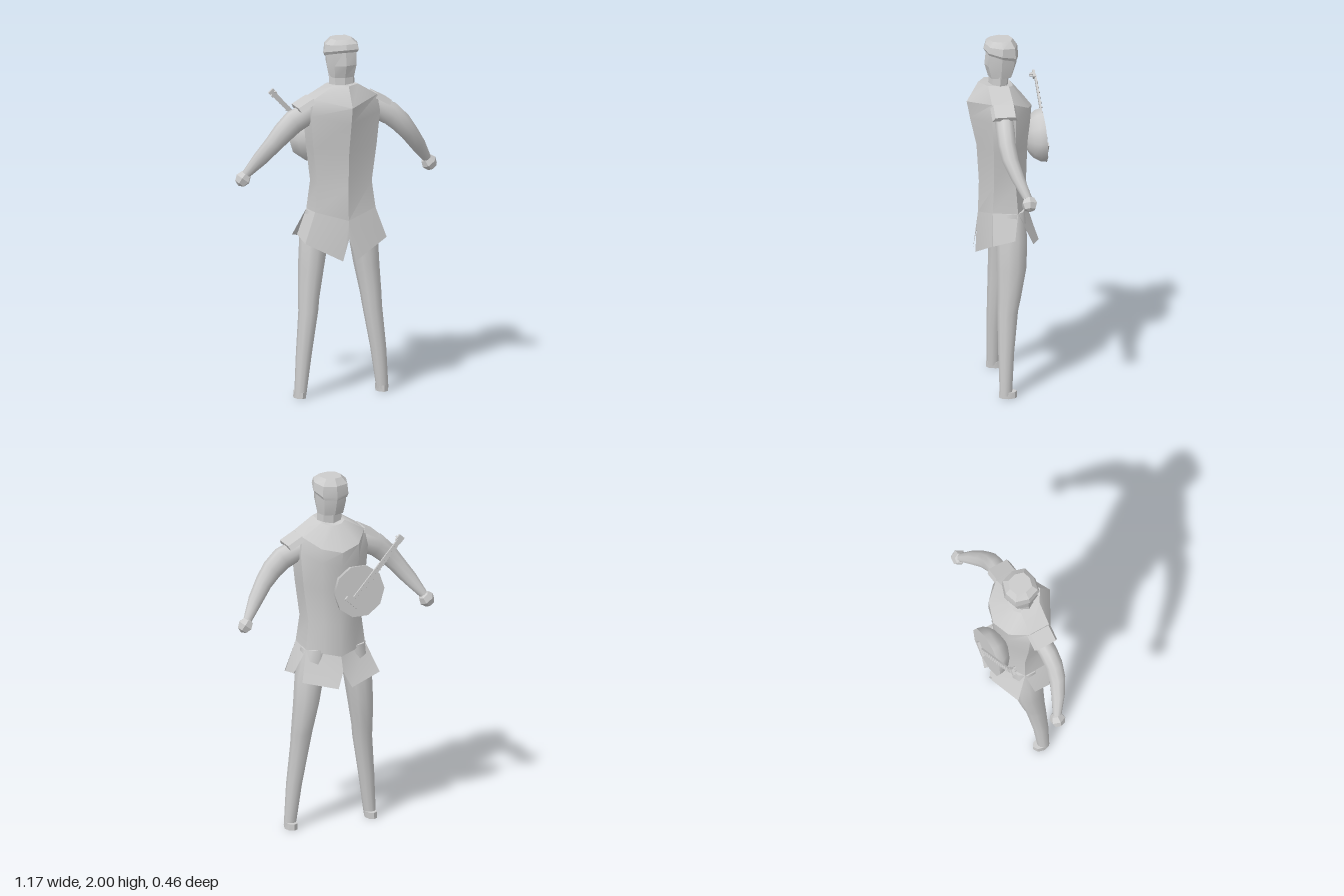
import * as THREE from 'three';
import { toCreasedNormals } from 'three/addons/utils/BufferGeometryUtils.js';

const grey = new THREE.MeshStandardMaterial({ color: 0xcccccc, side: THREE.DoubleSide });

function addMesh(parent, name, geometry, crease = 0.6) {
  const mesh = new THREE.Mesh(toCreasedNormals(geometry, crease), grey);
  mesh.name = name;
  parent.add(mesh);
  return mesh;
}

// Skin through closed rings of [x, y, z]; side = -1 mirrors the part in x
function loft(rings, side = 1) {
  const n = rings[0].length;
  const pos = [], idx = [];
  const put = ([x, y, z]) => pos.push(side * x, y, z);
  rings.forEach(r => r.forEach(put));
  const tri = (a, b, c) => (side > 0 ? idx.push(a, b, c) : idx.push(a, c, b));
  for (let i = 0; i < rings.length - 1; i++) {
    for (let j = 0; j < n; j++) {
      const k = (j + 1) % n, a = i * n, b = a + n;
      tri(a + j, a + k, b + k);
      tri(a + j, b + k, b + j);
    }
  }
  // End caps
  [0, rings.length - 1].forEach(e => {
    const c = pos.length / 3;
    put([0, 1, 2].map(q => rings[e].reduce((s, p) => s + p[q], 0) / n));
    for (let j = 0; j < n; j++) {
      const k = (j + 1) % n;
      if (e === 0) tri(c, k, j);
      else tri(c, e * n + j, e * n + k);
    }
  });
  const g = new THREE.BufferGeometry();
  g.setAttribute('position', new THREE.Float32BufferAttribute(pos, 3));
  g.setIndex(idx);
  return g;
}

// Full ring from its +x half, listed front centre to back centre
const mirrorRing = half =>
  [...half, ...half.slice(1, -1).reverse().map(([x, y, z]) => [-x, y, z])];

// Horizontal ellipse
const ellipse = (x, y, z, rx, rz, n = 10) => Array.from({ length: n }, (_, i) => {
  const a = (i / n) * Math.PI * 2;
  return [x + Math.sin(a) * rx, y, z + Math.cos(a) * rz];
});

// Flat many-cornered panel
function panel(points, side) {
  const idx = [];
  for (let i = 1; i < points.length - 1; i++) idx.push(...(side > 0 ? [0, i, i + 1] : [0, i + 1, i]));
  const g = new THREE.BufferGeometry();
  g.setAttribute('position',
    new THREE.Float32BufferAttribute(points.flatMap(([x, y, z]) => [side * x, y, z]), 3));
  g.setIndex(idx);
  return g;
}

// Boxy octagonal ring for the head; slope lowers the back edge
const headRing = (y, hx, front, back, slope = 0) => {
  const c = (front + back) / 2, h = (front - back) / 2;
  return mirrorRing([[0, 1], [0.76, 0.82], [1, 0.05], [0.76, -0.75], [0, -1]]
    .map(([u, v]) => [u * hx, y + slope * (v - 1), c + v * h]));
};

export function createModel() {
  const model = new THREE.Group();
  model.name = 'figure';

  // Tunic body, hem to neckline
  const tunicRows = [
    [[0, 1.0, 0.16], [0.175, 1.05, 0.105], [0.175, 1.04, -0.035], [0.09, 1.02, -0.088], [0, 1.0, -0.115]],
    [[0, 1.18, 0.155], [0.157, 1.2, 0.095], [0.157, 1.2, -0.025], [0.09, 1.19, -0.082], [0, 1.18, -0.105]],
    [[0, 1.39, 0.168], [0.183, 1.4, 0.1], [0.183, 1.4, -0.02], [0.1, 1.39, -0.088], [0, 1.38, -0.112]],
    [[0, 1.55, 0.204], [0.2, 1.59, 0.11], [0.2, 1.59, -0.02], [0.11, 1.55, -0.103], [0, 1.52, -0.128]],
    [[0, 1.645, 0.222], [0.183, 1.685, 0.11], [0.183, 1.68, -0.01], [0.11, 1.63, -0.1], [0, 1.605, -0.135]],
    [[0, 1.755, 0.16], [0.07, 1.755, 0.115], [0.07, 1.745, 0], [0.04, 1.735, -0.025], [0, 1.73, -0.03]],
  ];
  addMesh(model, 'tunic', loft(tunicRows.map(mirrorRing)));

  // Neck and head
  addMesh(model, 'neck', loft([ellipse(0, 1.72, 0.05, 0.073, 0.055, 8), ellipse(0, 1.82, 0.045, 0.073, 0.055, 8)]));
  addMesh(model, 'head', loft([
    headRing(1.79, 0.072, 0.105, -0.03),
    headRing(1.86, 0.084, 0.125, -0.052),
    headRing(1.95, 0.088, 0.115, -0.055),
  ]), 0.35);
  addMesh(model, 'cap', loft([
    headRing(1.935, 0.09, 0.122, -0.058, 0.027),
    headRing(1.95, 0.1, 0.13, -0.062, 0.025),
    headRing(1.978, 0.094, 0.12, -0.056, 0.008),
    headRing(2.0, 0.06, 0.095, -0.03),
  ]), 0.35);

  for (const s of [1, -1]) {
    const label = s > 0 ? 'left' : 'right';

    // Skirt panels split at the front, sides and back
    addMesh(model, label + 'FrontFlap', panel(
      [[0, 1.0, 0.16], [0, 0.9, 0.168], [0.04, 0.78, 0.18], [0.235, 0.88, 0.118], [0.175, 1.05, 0.105]], s));
    addMesh(model, label + 'SideFlap', panel(
      [[0.175, 1.05, 0.105], [0.235, 0.88, 0.112], [0.238, 0.905, -0.01], [0.175, 1.04, -0.035]], s));
    addMesh(model, label + 'BackFlap', panel(
      [[0.175, 1.04, -0.035], [0.23, 0.88, -0.11], [0.04, 0.835, -0.168], [0, 0.92, -0.14],
        [0, 1.0, -0.115], [0.09, 1.02, -0.088]], s));

    // Leg, ankle to hip
    addMesh(model, label + 'Leg', loft([
      [0.238, 0.015, 0.042, 0.033, 0.034],
      [0.215, 0.25, 0.037, 0.044, 0.044],
      [0.185, 0.48, 0.024, 0.054, 0.057],
      [0.18, 0.55, 0.015, 0.058, 0.064],
      [0.16, 0.72, -0.001, 0.07, 0.082],
      [0.142, 0.88, -0.004, 0.08, 0.086],
      [0.11, 1.04, 0, 0.075, 0.08],
    ].map(p => ellipse(...p)), s), 0.9);
    addMesh(model, label + 'Foot', loft([
      ellipse(0.238, 0, 0.03, 0.034, 0.05, 8), ellipse(0.236, 0.035, 0.03, 0.033, 0.05, 8),
    ], s));

    // Arm: rings square to the path, [x, y, z, radius up, radius deep]
    const arm = [
      [0.18, 1.6, 0.045, 0.06, 0.05], [0.28, 1.555, 0.05, 0.066, 0.051],
      [0.34, 1.5, 0.051, 0.06, 0.049], [0.395, 1.435, 0.04, 0.05, 0.046],
      [0.46, 1.35, 0.008, 0.042, 0.038], [0.525, 1.26, -0.035, 0.024, 0.026],
    ];
    addMesh(model, label + 'Arm', loft(arm.map(([x, y, z, rv, rz], i) => {
      const a = arm[Math.max(i - 1, 0)], b = arm[Math.min(i + 1, arm.length - 1)];
      const d = new THREE.Vector2(b[0] - a[0], b[1] - a[1]).normalize();
      return Array.from({ length: 10 }, (_, k) => {
        const t = (k / 10) * Math.PI * 2, v = Math.sin(t) * rv;
        return [x + d.y * v, y - d.x * v, z + Math.cos(t) * rz];
      });
    }), s), 0.9);

    // Fist
    const hand = addMesh(model, label + 'Hand', new THREE.SphereGeometry(0.045, 6, 4), 0.2);
    hand.position.set(s * 0.54, 1.235, -0.042);
    hand.rotation.z = s * 0.65;

    // Cap sleeve, narrower along its upper face
    const cap = new THREE.BoxGeometry(0.095, 0.028, 0.14);
    const p = cap.attributes.position;
    for (let i = 0; i < p.count; i++) if (p.getY(i) > 0) p.setZ(i, p.getZ(i) * 0.8);
    const sleeve = addMesh(model, label + 'Sleeve', cap, 0.2);
    sleeve.position.set(s * 0.222, 1.652, 0.048);
    sleeve.rotation.z = -s * 0.5;
  }

  // Stringed instrument slung on the back
  const lute = new THREE.Group();
  lute.name = 'instrument';
  const bowl = new THREE.SphereGeometry(0.148, 10, 5, 0, Math.PI * 2, Math.PI / 2, Math.PI / 2);
  bowl.scale(1, 0.78, 1);
  addMesh(lute, 'bowl', bowl, 0.9);
  const face = addMesh(lute, 'face', new THREE.CircleGeometry(0.148, 10));
  face.rotation.x = -Math.PI / 2;

  // Neck, frets, bridge and pegs lie along local +x before turning
  const fretted = new THREE.Group();
  fretted.name = 'neckAssembly';
  const bar = (name, x, y, z, w, h, d) =>
    addMesh(fretted, name, new THREE.BoxGeometry(w, h, d), 0.2).position.set(x, y, z);
  bar('fingerboard', 0.155, 0.006, 0, 0.4, 0.01, 0.026);
  for (let i = 0; i < 12; i++) bar('fret', -0.02 + i * 0.03, 0.013, 0, 0.006, 0.005, 0.03);
  bar('bridge', -0.075, 0.007, 0, 0.022, 0.014, 0.09);
  bar('headstock', 0.36, 0.0, 0, 0.04, 0.014, 0.036);
  for (const z of [-0.014, 0.014]) bar('peg', 0.36, -0.012, z, 0.01, 0.024, 0.008);
  fretted.rotation.y = -Math.PI * 0.74;
  lute.add(fretted);
  lute.position.set(-0.065, 1.4, -0.213);
  lute.rotation.x = -Math.PI / 2 + 0.07;
  model.add(lute);

  return model;
}
